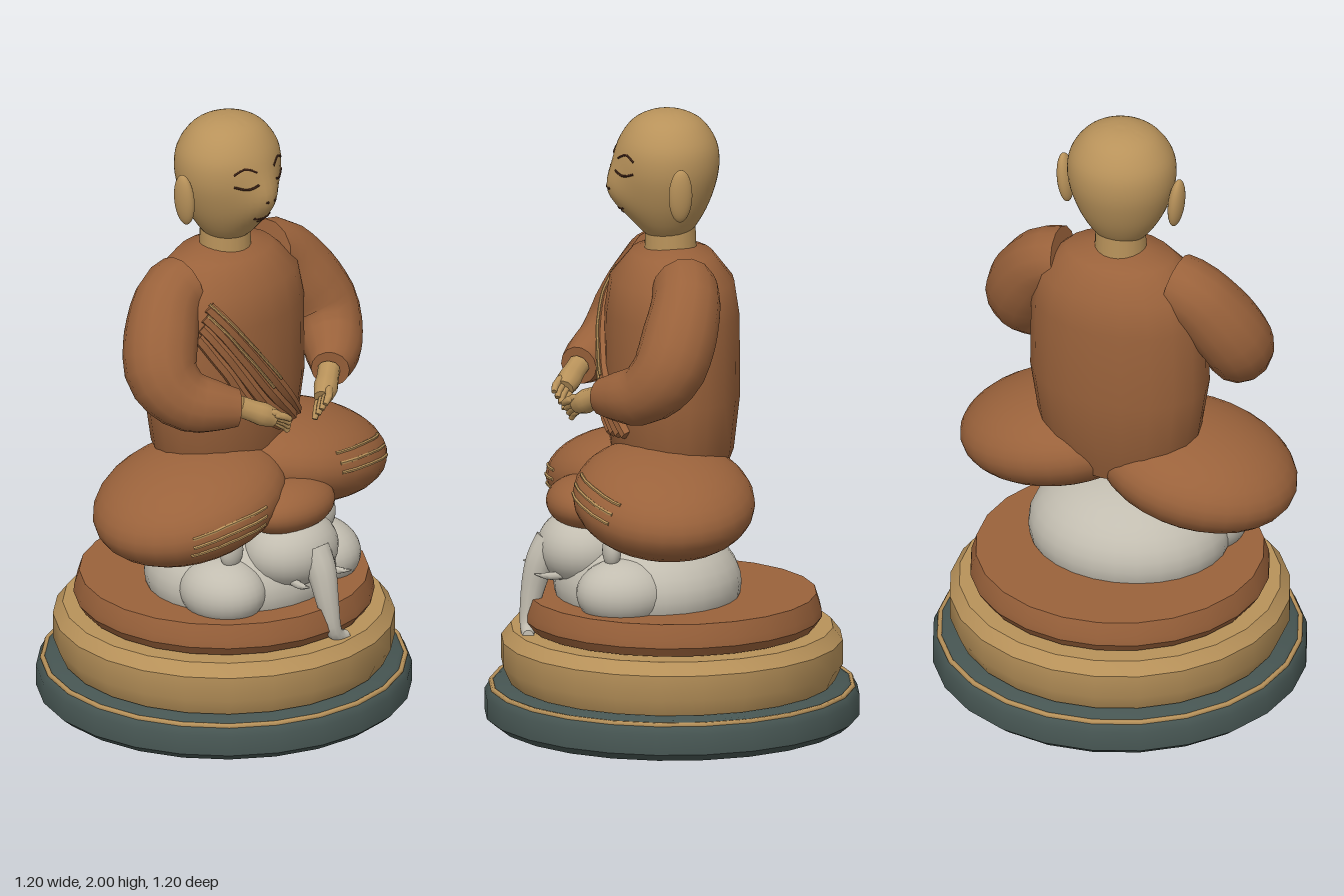
import * as THREE from 'three';
import { toCreasedNormals } from 'three/addons/utils/BufferGeometryUtils.js';

const material = (name, color) => Object.assign(new THREE.MeshStandardMaterial({ color }), { name });
const V = (x, y, z) => new THREE.Vector3(x, y, z);

export function createModel() {
  const model = new THREE.Group();
  model.name = 'seatedMonk';
  const robe = material('robeBrown', 0x9a623b);
  const gold = material('skinGold', 0xb8925a);
  const stone = material('elephantGrey', 0xc2bdb0);
  const slate = material('plinthSlate', 0x465552);
  const ink = material('faceLine', 0x4a2b1c);

  const add = (name, geometry, mat, parent = model) => {
    const mesh = new THREE.Mesh(geometry, mat);
    mesh.name = name;
    parent.add(mesh);
    return mesh;
  };
  const group = (name) => {
    const g = new THREE.Group();
    g.name = name;
    model.add(g);
    return g;
  };
  const lathe = (points, sides, crease = 0.6) => toCreasedNormals(
    new THREE.LatheGeometry(points.map(([r, y]) => new THREE.Vector2(r, y)), sides), crease);
  const ellipsoid = (name, mat, c, r, parent = model, tilt = 0) => {
    const mesh = add(name, new THREE.SphereGeometry(1, 28, 18), mat, parent);
    mesh.scale.set(...r);
    mesh.position.set(...c);
    mesh.rotation.z = tilt;
    return mesh;
  };

  // Tube whose radius follows a list, closed by flat ends
  const taperedTube = (points, radii, steps = 16, sides = 14) => {
    const curve = new THREE.CatmullRomCurve3(points.map((p) => V(...p)));
    const geo = new THREE.TubeGeometry(curve, steps, 1, sides);
    const pos = geo.attributes.position;
    const p = V(0, 0, 0);
    for (let i = 0; i <= steps; i++) {
      const centre = curve.getPointAt(i / steps);
      const inner = Math.min(Math.max(i, 1), steps - 1);
      const t = (inner - 1) / (steps - 2) * (radii.length - 1);
      const k = Math.min(Math.floor(t), radii.length - 2);
      const radius = i === inner ? THREE.MathUtils.lerp(radii[k], radii[k + 1], t - k) : 0;
      const target = curve.getPointAt(inner / steps);
      for (let j = 0; j <= sides; j++) {
        const n = i * (sides + 1) + j;
        p.fromBufferAttribute(pos, n).sub(centre).multiplyScalar(radius).add(target);
        pos.setXYZ(n, p.x, p.y, p.z);
      }
    }
    return toCreasedNormals(geo, 0.9);
  };

  // Cord laid over the front of a mesh along an x, y path
  const ray = new THREE.Raycaster();
  const drape = (name, target, path, radius, mat, parent, lift = 0) => {
    target.updateMatrixWorld(true);
    const flat = new THREE.CatmullRomCurve3(path.map(([x, y]) => V(x, y, 0)));
    const points = [];
    for (const q of flat.getPoints(14)) {
      ray.set(V(q.x, q.y, 3), V(0, 0, -1));
      const hit = ray.intersectObject(target)[0];
      if (hit) points.push([q.x, q.y, hit.point.z + lift]);
    }
    if (points.length > 1) add(name, taperedTube(points, [radius, radius], 20, 6), mat, parent);
  };

  // Stepped round plinth
  const plinth = group('plinth');
  add('plinthFoot', lathe([[0, 0], [0.57, 0], [0.6, 0.025], [0.6, 0.09], [0.585, 0.115], [0.56, 0.13], [0, 0.13]], 24), slate, plinth);
  const trim = add('plinthTrim', new THREE.TorusGeometry(0.578, 0.009, 6, 24), gold, plinth);
  trim.rotation.x = Math.PI / 2;
  trim.position.y = 0.118;
  add('plinthMiddle', lathe([[0, 0.13], [0.52, 0.135], [0.546, 0.19], [0.546, 0.27], [0.515, 0.31], [0, 0.31]], 24), gold, plinth);
  add('plinthTop', lathe([[0, 0.31], [0.46, 0.315], [0.48, 0.345], [0.478, 0.37], [0.462, 0.42], [0, 0.42]], 24), robe, plinth);

  // Resting elephant
  const elephant = group('elephant');
  ellipsoid('elephantBody', stone, [0, 0.46, 0.08], [0.33, 0.2, 0.3], elephant);
  ellipsoid('elephantHead', stone, [0, 0.58, 0.29], [0.165, 0.125, 0.145], elephant);
  ellipsoid('headCloth', robe, [0, 0.725, 0.28], [0.175, 0.085, 0.125], elephant);
  add('trunk', taperedTube([[0, 0.62, 0.38], [0, 0.54, 0.425], [0, 0.43, 0.455], [0.015, 0.33, 0.47], [0.045, 0.31, 0.475], [0.085, 0.31, 0.48]],
    [0.055, 0.05, 0.042, 0.034, 0.028, 0.018], 18, 12), stone, elephant);
  for (const s of [-1, 1]) {
    ellipsoid('elephantFrontLeg', stone, [s * 0.22, 0.475, 0.2], [0.13, 0.11, 0.15], elephant);
    ellipsoid('elephantEar', stone, [s * 0.215, 0.615, 0.235], [0.045, 0.058, 0.03], elephant);
    add('tusk', taperedTube([[s * 0.07, 0.505, 0.36], [s * 0.088, 0.508, 0.42], [s * 0.1, 0.522, 0.475]], [0.014, 0.012, 0.003], 10, 8), stone, elephant);
  }

  // Folded legs with striped hems
  const legs = group('legs');
  for (const s of [-1, 1]) {
    const leg = ellipsoid('foldedLeg', robe, [s * 0.235, s > 0 ? 0.78 : 0.755, 0.07], [0.335, 0.16, 0.29], legs, -s * 0.2);
    for (let i = 0; i < 3; i++) {
      const y = (s > 0 ? 0.86 : 0.79) - i * 0.03;
      const drop = s > 0 ? 0.045 : 0.05;
      drape('hemStripe', leg, [[s * 0.16, y], [s * 0.32, y - 0.015], [s * 0.46, y - drop]], 0.006, gold, legs);
    }
  }

  // Torso
  const torso = add('torso', lathe([[0, 0.72], [0.2, 0.76], [0.27, 0.9], [0.298, 1.08], [0.295, 1.34], [0.272, 1.45], [0.18, 1.535], [0.08, 1.56], [0, 1.56]], 20, 0.8), robe);
  torso.scale.z = 0.72;

  // Diagonal sash of folded cloth with a gold edge
  const sash = group('sash');
  for (let i = 0; i < 4; i++) {
    const o = i * 0.034;
    drape('sashFold', torso, [[-0.225 - o * 0.3, 1.45 - o], [-0.12 - o * 0.6, 1.3 - o * 0.8], [0.03 - o, 1.11 - o * 0.6], [0.17 - o, 0.95]], 0.021, robe, sash, 0.004);
  }
  for (const o of [0, 0.035])
    drape('sashEdge', torso, [[-0.225 - o * 0.3, 1.455 - o], [-0.12 - o * 0.6, 1.31 - o * 0.8], [0.03 - o, 1.125 - o * 0.6]], 0.005, gold, sash, 0.024);

  // Sleeves and hands
  for (const s of [-1, 1]) {
    const arm = group(s > 0 ? 'leftArm' : 'rightArm');
    const at = (list) => list.map(([x, y, z]) => [s * x, y, z]);
    add('sleeve', taperedTube(at([[0.16, 1.465, 0], [0.25, 1.44, 0], [0.33, 1.34, 0.035], [0.375, 1.23, 0.085], [0.34, 1.155, 0.15], [0.27, 1.13, 0.22], [0.185, 1.115, 0.285]]),
      [0.105, 0.112, 0.12, 0.118, 0.105, 0.09, 0.062], 18, 14), robe, arm);
    add('palm', taperedTube(at([[0.22, 1.13, 0.255], [0.165, 1.1, 0.295], [0.1, 1.065, 0.335]]), [0.036, 0.036, 0.04, 0.03], 10, 10), gold, arm);
    for (let i = 0; i < 4; i++) {
      const o = (i - 1.5) * 0.019;
      add('finger', taperedTube(at([[0.125 + o * 0.4, 1.078 + o * 0.6, 0.322 + o * 0.5], [0.09 + o * 0.4, 1.06 + o * 0.8, 0.345 + o * 0.5], [0.065 + o * 0.3, 1.035 + o, 0.355 + o * 0.5]]),
        [0.012, 0.013, 0.009], 8, 8), gold, arm);
    }
    add('thumb', taperedTube(at([[0.15, 1.1, 0.32], [0.12, 1.095, 0.345], [0.1, 1.075, 0.36]]), [0.013, 0.013, 0.009], 8, 8), gold, arm);
  }

  // Neck and egg-shaped head with a raised nose and mouth
  const headGroup = group('head');
  add('neck', new THREE.CylinderGeometry(0.08, 0.086, 0.16, 20).translate(0, 1.56, 0.005), gold, headGroup);
  const outline = new THREE.SplineCurve([[0, 1.575], [0.07, 1.595], [0.122, 1.66], [0.158, 1.74], [0.176, 1.82], [0.167, 1.895], [0.122, 1.96], [0.06, 1.992], [0, 2]]
    .map(([r, y]) => new THREE.Vector2(r, y))).getPoints(32);
  outline.forEach((p) => { p.x = Math.max(p.x, 0); p.y = Math.min(p.y, 2); });
  const headGeo = new THREE.LatheGeometry(outline, 48);
  const hp = headGeo.attributes.position;
  for (let i = 0; i < hp.count; i++) {
    const x = hp.getX(i), y = hp.getY(i), z = hp.getZ(i);
    const face = z > 0 ? 0.045 * Math.exp(-((x / 0.07) ** 2) - ((y - 1.74) / 0.085) ** 2) : 0;
    hp.setZ(i, z * 0.94 + 0.015 + face);
  }
  const head = add('headShape', toCreasedNormals(headGeo, 1), gold, headGroup);

  // Ears and face lines
  for (const s of [-1, 1]) {
    ellipsoid('ear', gold, [s * 0.193, 1.76, 0.008], [0.025, 0.088, 0.038], headGroup, -s * 0.1);
    drape('eyebrow', head, [[s * 0.035, 1.855], [s * 0.075, 1.873], [s * 0.112, 1.855]], 0.004, ink, headGroup);
    drape('closedEye', head, [[s * 0.035, 1.818], [s * 0.072, 1.805], [s * 0.112, 1.818]], 0.004, ink, headGroup);
    drape('nostril', head, [[s * 0.012, 1.752], [s * 0.022, 1.754]], 0.004, ink, headGroup);
  }
  drape('mouthLine', head, [[-0.04, 1.692], [-0.015, 1.686], [0.015, 1.686], [0.04, 1.692]], 0.004, ink, headGroup);
  drape('lowerLip', head, [[-0.018, 1.674], [0.018, 1.674]], 0.003, ink, headGroup);

  return model;
}
